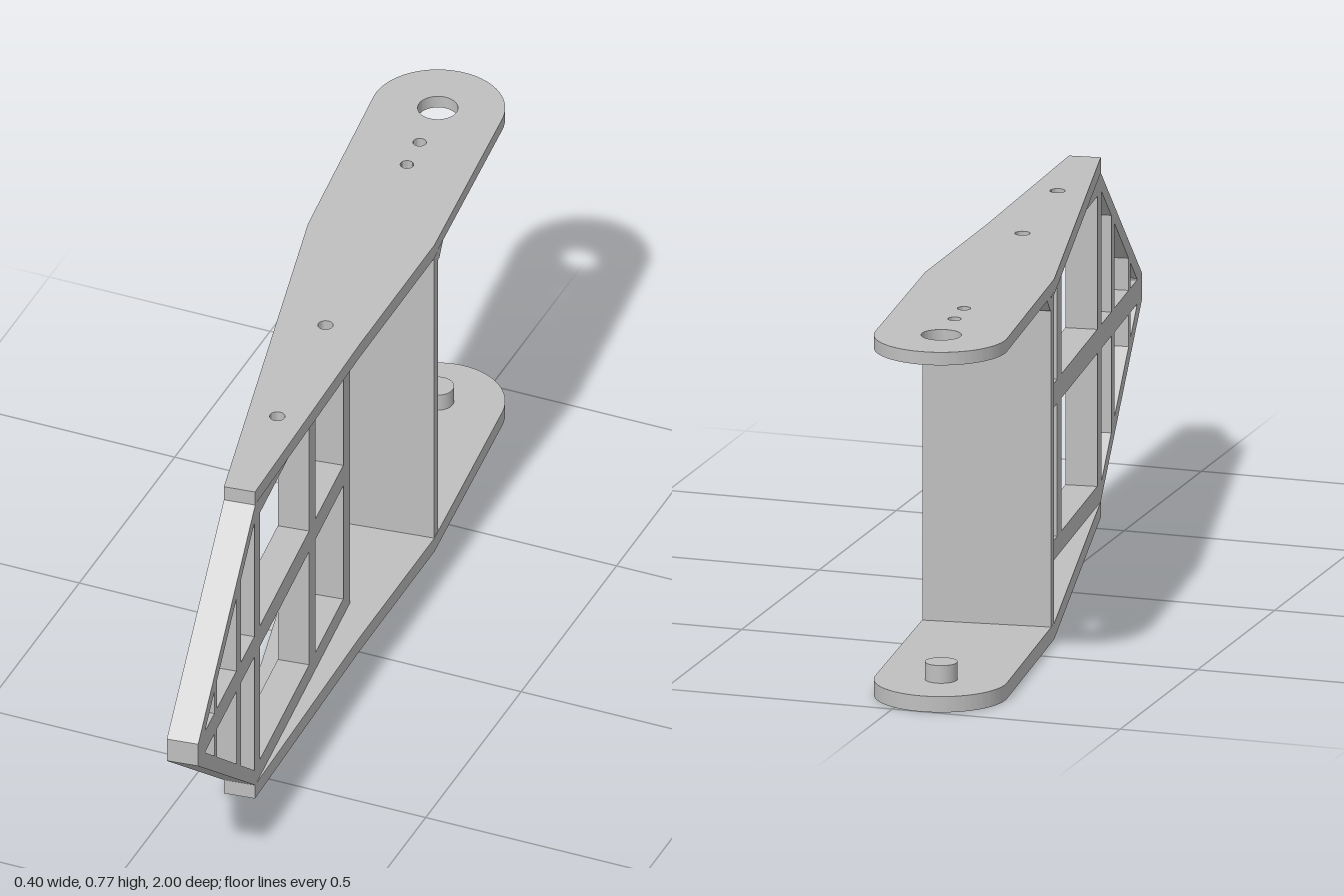
import * as THREE from 'three';
import { toCreasedNormals } from 'three/addons/utils/BufferGeometryUtils.js';

const SKEW = 0.12; // lean of the bracket's parts away from the z axis
const grey = new THREE.MeshStandardMaterial({ color: 0xbfbfbf });
grey.name = 'grey';

function part(name, geometry, parent) {
  const mesh = new THREE.Mesh(geometry, grey);
  mesh.name = name;
  parent.add(mesh);
  return mesh;
}

function polygon(points, Type = THREE.Shape) {
  return new Type(points.map(([a, b]) => new THREE.Vector2(a, b)));
}

function extrude(shape, depth) {
  const g = new THREE.ExtrudeGeometry(shape, { depth, bevelEnabled: false, curveSegments: 32 });
  return toCreasedNormals(g, 0.6);
}

// Horizontal slab from a plan drawn in (x, -z)
function slab(shape, y0, y1) {
  return extrude(shape, y1 - y0).rotateX(-Math.PI / 2).translate(0, y0, 0);
}

function drill(shape, holes) {
  for (const [x, z, r] of holes) {
    shape.holes.push(new THREE.Path().absarc(x, -z, r, 0, Math.PI * 2, true));
  }
  return shape;
}

// Arm plan: pointed front half, rounded rear end
function armPlan() {
  const s = new THREE.Shape();
  s.moveTo(-0.14, 0.365);
  s.lineTo(0.08, -0.585);
  s.lineTo(0.147, -0.577);
  s.lineTo(0.133, 0);
  s.lineTo(0.132, 0.398);
  s.absarc(-0.06, 0.86, 0.14, SKEW, Math.PI + SKEW, false);
  s.closePath();
  return s;
}

export function createModel() {
  const model = new THREE.Group();
  model.name = 'bracket';
  const screwHoles = [[0.04, -0.04, 0.016], [0.08, 0.305, 0.016]];

  // Lower arm with its pivot pin
  part('lowerArm', slab(drill(armPlan(), screwHoles), 0, 0.034), model);
  part('pivotPin', new THREE.CylinderGeometry(0.034, 0.034, 0.04, 32), model)
    .position.set(-0.06, 0.052, -0.86);

  // Upper arm, thicker ahead of the web
  const upperHoles = [...screwHoles, [-0.06, -0.86, 0.042], [-0.045, -0.73, 0.014], [-0.037, -0.645, 0.014]];
  part('upperArm', slab(drill(armPlan(), upperHoles), 0.747, 0.775), model);
  const pad = polygon([[-0.144, 0.395], [-0.14, 0.365], [0.08, -0.585], [0.147, -0.577], [0.133, 0], [0.132, 0.398], [0.128, 0.428]]);
  part('upperArmPad', slab(drill(pad, screwHoles), 0.742, 0.747), model);

  // Upright web between the arms, with a chamfered lip behind its top
  const web = new THREE.Group();
  web.name = 'web';
  web.position.set(-0.14, 0, -0.365);
  web.rotation.y = SKEW;
  model.add(web);
  part('webWall', new THREE.BoxGeometry(0.273, 0.708, 0.03).translate(0.1365, 0.388, -0.015), web);
  const lip = polygon([[0.03, 0.717], [0.04, 0.717], [0.07, 0.747], [0.03, 0.747]]);
  part('webLip', extrude(lip, 0.273).rotateY(Math.PI / 2), web);

  // Lattice frame: side outline in (z, y), narrowing to the front tip
  const frame = polygon([[-0.103, 0.034], [0.585, 0.034], [1, 0.36], [1, 0.415], [0.585, 0.742], [-0.103, 0.742]]);
  const mid = 0.388;
  const edge = z => 0.312 - Math.max(0, z - 0.592) * 0.795; // half height of the opening
  for (const [a, b] of [[-0.055, 0.147], [0.193, 0.55], [0.592, 0.69], [0.722, 0.865], [0.882, 0.947]]) {
    for (const s of [-1, 1]) {
      const y = h => mid + s * h;
      frame.holes.push(polygon([[a, y(0.026)], [b, y(0.026)], [b, y(Math.max(0.029, edge(b)))], [a, y(edge(a))]], THREE.Path));
    }
  }
  const width = 0.068;
  const lattice = extrude(frame, width)
    .translate(-0.585, 0, -width)
    .scale(1 / Math.cos(SKEW), 1, 1);
  const mesh = part('latticeFrame', lattice, model);
  mesh.position.set(0.08, 0, 0.585);
  mesh.rotation.y = SKEW - Math.PI / 2;

  return model;
}
